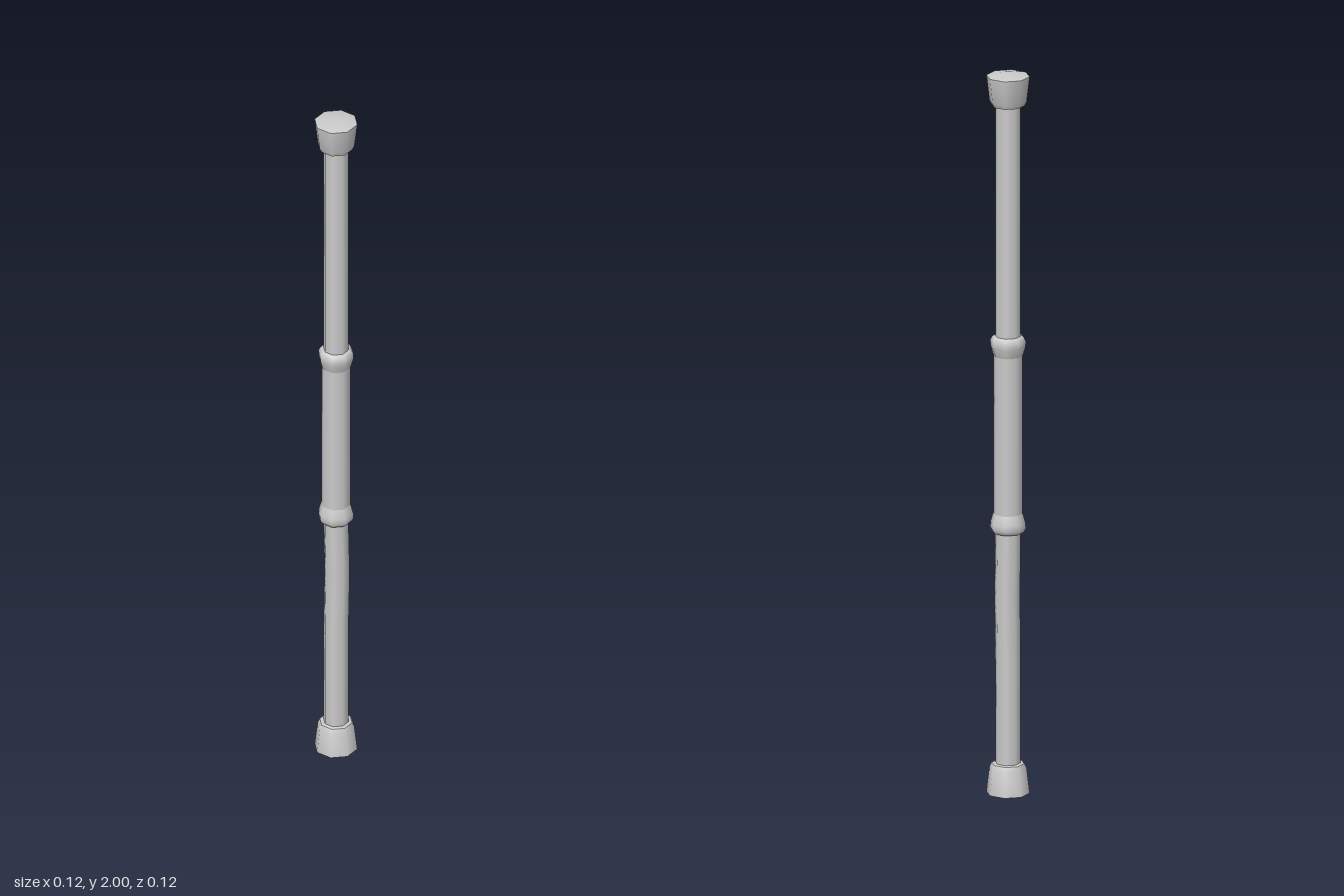
import * as THREE from 'three';
import { toCreasedNormals } from 'three/addons/utils/BufferGeometryUtils.js';

const SIDES = 8;
const material = new THREE.MeshStandardMaterial({ color: 0xcccccc });

// Eight-sided turned part from [radius, height] pairs, listed bottom to top
function turned(name, profile, crease) {
  let geometry = new THREE.LatheGeometry(profile.map(([r, y]) => new THREE.Vector2(r, y)), SIDES);
  if (crease) geometry = toCreasedNormals(geometry, crease);
  const mesh = new THREE.Mesh(geometry, material);
  mesh.name = name;
  return mesh;
}

// Flip a profile about mid-height
const mirrored = (profile) => profile.map(([r, y]) => [r, 2 - y]).reverse();

// Sideways bow of the lower shaft
function bow(y) {
  const t = THREE.MathUtils.clamp((y - 0.37) / 0.38, 0, 1);
  return 0.0075 * Math.sin(Math.PI * t) ** 2;
}

export function createModel() {
  const group = new THREE.Group();
  group.name = 'staff';

  // Flared end caps with shallow conical ends
  const cap = [[0.034, 1.904], [0.044, 1.906], [0.05, 1.918], [0.058, 1.987], [0, 2]];
  group.add(turned('topCap', cap, 0.85));
  group.add(turned('bottomCap', mirrored(cap), 0.85));

  // Rounded collars framing the grip
  const collar = [[0.038, 1.215], [0.041, 1.222], [0.047, 1.243], [0.048, 1.258], [0.042, 1.269], [0.034, 1.271]];
  group.add(turned('upperCollar', collar));
  group.add(turned('lowerCollar', mirrored(collar)));

  // Grip and upper shaft
  group.add(turned('grip', [[0.039, 0.76], [0.039, 1.24]]));
  group.add(turned('upperShaft', [[0.034, 1.25], [0.034, 1.91]]));

  // Lower shaft, bowed towards +x and -z
  const heights = [0.09, 0.37, 0.43, 0.49, 0.53, 0.57, 0.61, 0.65, 0.7, 0.75];
  const lowerShaft = turned('lowerShaft', heights.map((y) => [0.034, y]));
  const position = lowerShaft.geometry.attributes.position;
  for (let i = 0; i < position.count; i++) {
    const offset = bow(position.getY(i));
    position.setX(i, position.getX(i) + offset);
    position.setZ(i, position.getZ(i) - offset);
  }
  group.add(lowerShaft);

  return group;
}
